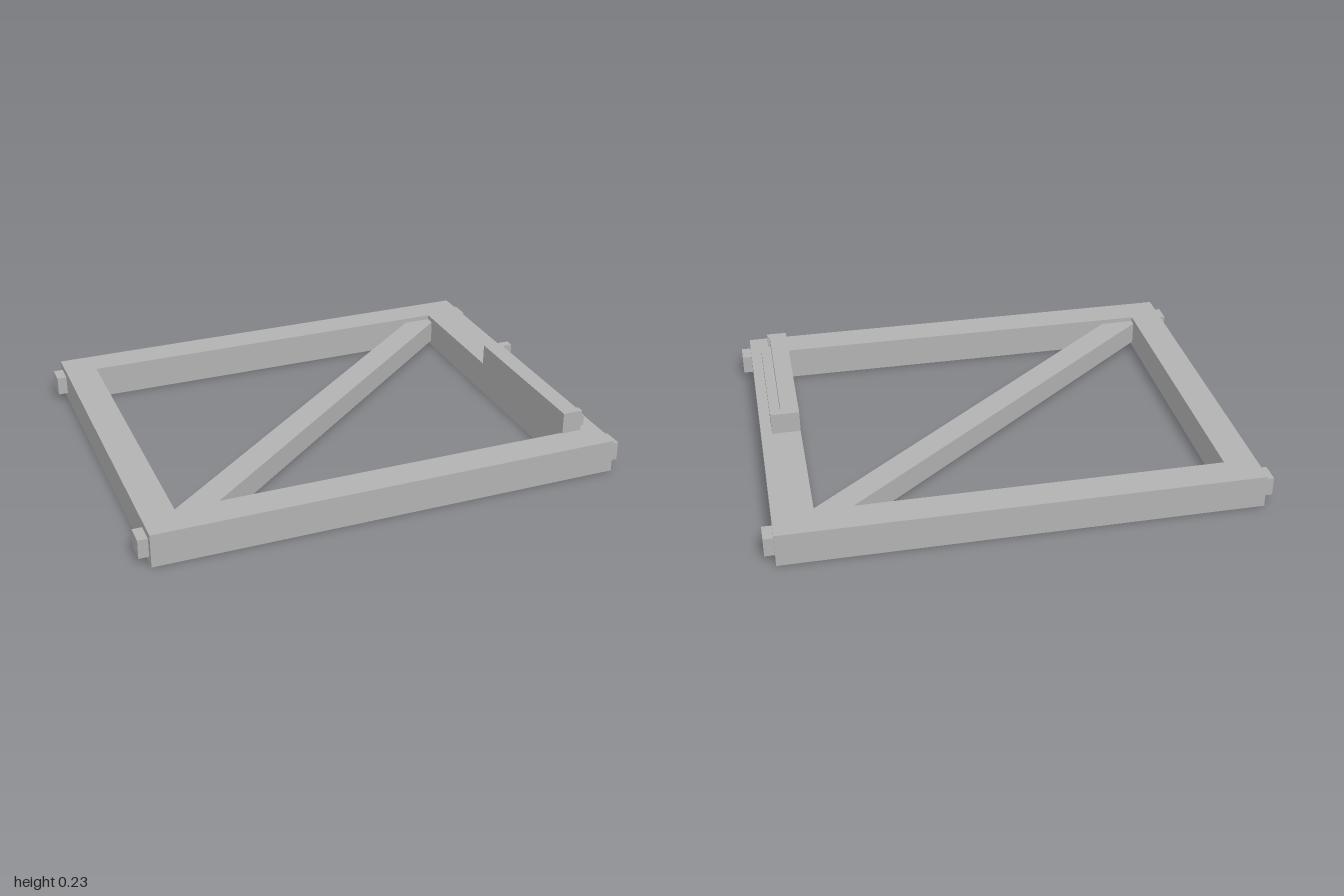
import * as THREE from 'three';

export function createModel() {
  const group = new THREE.Group();
  const grey = new THREE.MeshStandardMaterial({ color: 0xb2b2b2 });
  grey.name = 'plain grey';

  function add(name, geometry) {
    const mesh = new THREE.Mesh(geometry, grey);
    mesh.name = name;
    group.add(mesh);
  }

  // Box given by its lower and upper limits
  function box(name, x0, x1, y0, y1, z0, z1) {
    const g = new THREE.BoxGeometry(x1 - x0, y1 - y0, z1 - z0);
    g.translate((x0 + x1) / 2, (y0 + y1) / 2, (z0 + z1) / 2);
    add(name, g);
  }

  // Plan outline [x, z] raised from y0 to y1
  const points = (list) => list.map(([x, z]) => new THREE.Vector2(x, z));
  function slab(name, outline, y0, y1, hole) {
    const shape = new THREE.Shape(points(outline));
    if (hole) shape.holes.push(new THREE.Path(points(hole)));
    const g = new THREE.ExtrudeGeometry(shape, { depth: y1 - y0, bevelEnabled: false });
    g.rotateX(Math.PI / 2).translate(0, y1, 0);
    add(name, g);
  }
  const rect = (x0, x1, z0, z1) => [[x0, z0], [x1, z0], [x1, z1], [x0, z1]];

  // Rectangular frame, wider along the handle side
  const top = 0.137;
  slab('frame', rect(-0.96, 0.96, -0.768, 0.768), 0, top, rect(-0.828, 0.798, -0.635, 0.632));

  // Diagonal brace, trimmed into two opposite corners
  slab('diagonalBrace', [
    [-0.828, 0.605], [-0.828, 0.632], [-0.685, 0.632],
    [0.798, -0.595], [0.798, -0.635], [0.68, -0.635],
  ], 0.02, 0.117);

  // Hinge pegs on both ends
  for (const s of [-1, 1]) {
    for (const z of [-0.7, 0.7]) {
      box('hingePeg', s > 0 ? 0.96 : -1, s > 0 ? 1 : -0.96, 0.03, 0.108, z - 0.041, z + 0.041);
    }
  }

  // Raised handle: wall, end blocks and low ledge
  box('handleWall', 0.798, 0.872, top, 0.226, -0.03, 0.61);
  box('handleBackBlock', 0.798, 0.915, top, 0.226, -0.062, -0.026);
  box('handleFrontBlock', 0.798, 0.882, top, 0.226, 0.608, 0.638);
  box('handleLedge', 0.872, 0.915, top, 0.182, -0.026, 0.604);

  return group;
}
